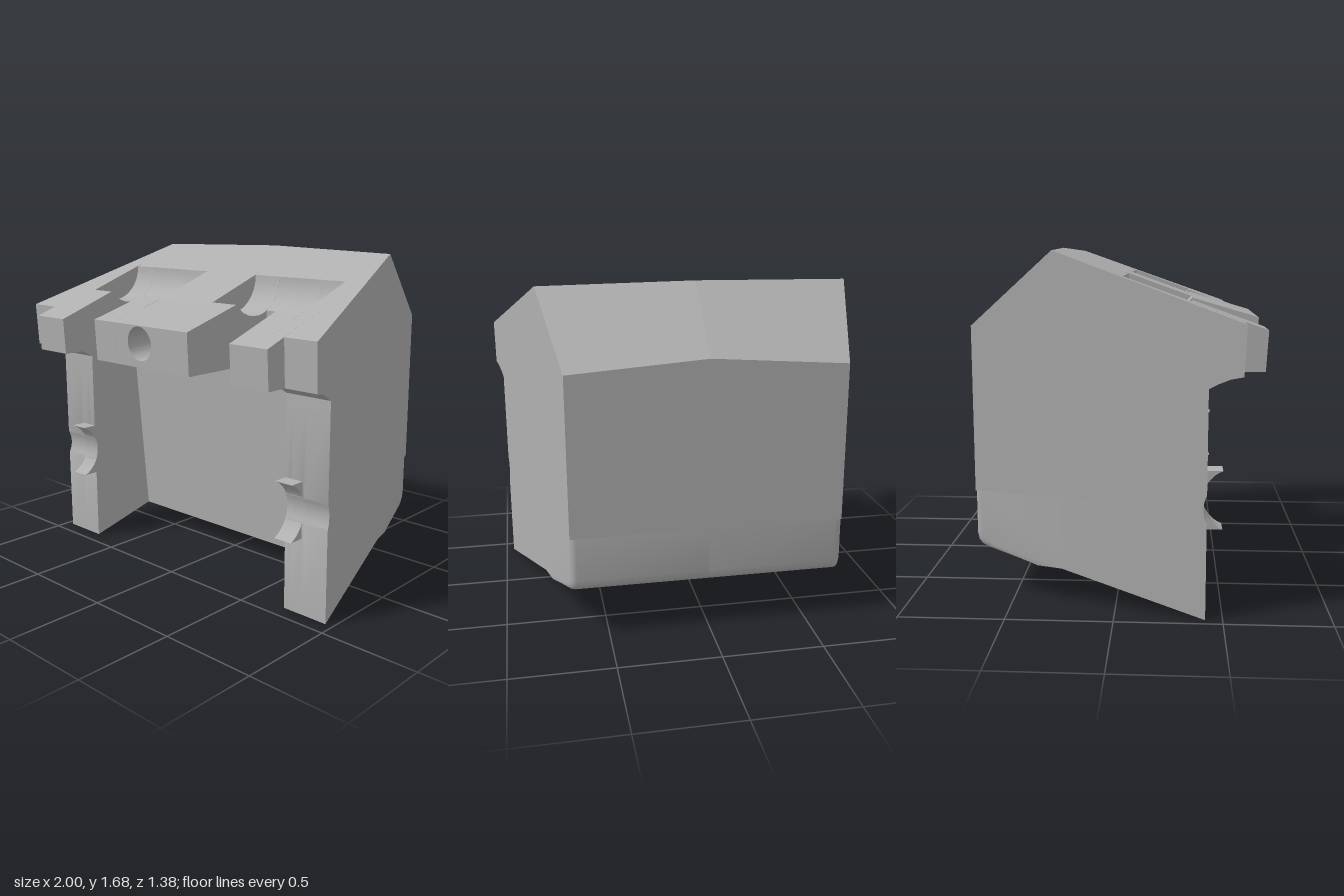
import * as THREE from 'three';
import { toCreasedNormals } from 'three/addons/utils/BufferGeometryUtils.js';

const grey = new THREE.MeshStandardMaterial({ color: 0xb0b0b0 });
grey.name = 'grey plastic';

// Half width of the tapering plan at depth z, and the sloping top plane
const halfWidth = (z) => 1 - (0.58 - z) * 0.252;
const topY = (z) => 1.565 - 0.36 * z;

// Points [z, y] along a circular arc, angles in degrees
function arc(cz, cy, r, from, to, steps = 12) {
  return Array.from({ length: steps + 1 }, (_, i) => {
    const a = THREE.MathUtils.degToRad(from + ((to - from) * i) / steps);
    return [cz + r * Math.cos(a), cy + r * Math.sin(a)];
  });
}

// Solid through rings of [x, y, z] points ordered from low x to high x
function loft(rings) {
  const flat = rings[0].map((p) => new THREE.Vector2(p[2], p[1]));
  if (THREE.ShapeUtils.isClockWise(flat)) rings = rings.map((r) => [...r].reverse());
  const pos = [];
  const tri = (a, b, c) => pos.push(...a, ...b, ...c);
  for (let k = 0; k < rings.length - 1; k++) {
    const r = rings[k], s = rings[k + 1], n = r.length;
    for (let i = 0; i < n; i++) {
      const j = (i + 1) % n;
      tri(r[i], s[i], s[j]);
      tri(r[i], s[j], r[j]);
    }
  }
  const cap = (ring, flip) => {
    const pts = ring.map((p) => new THREE.Vector2(p[2], p[1]));
    for (const [a, b, c] of THREE.ShapeUtils.triangulateShape(pts, [])) {
      if (flip) tri(ring[a], ring[c], ring[b]);
      else tri(ring[a], ring[b], ring[c]);
    }
  };
  cap(rings[0], false);
  cap(rings[rings.length - 1], true);
  const geo = new THREE.BufferGeometry();
  geo.setAttribute('position', new THREE.Float32BufferAttribute(pos, 3));
  return toCreasedNormals(geo, 0.5);
}

export function createModel() {
  const group = new THREE.Group();
  const add = (geo, name) => {
    const mesh = new THREE.Mesh(geo, grey);
    mesh.name = name;
    group.add(mesh);
  };
  // A part on the left and its mirror image on the right
  const addPair = (rings, name) => {
    add(loft(rings), name + 'Left');
    add(loft([...rings].reverse().map((r) => r.map(([x, y, z]) => [-x, y, z]))), name + 'Right');
  };
  // Side profile carried from x0 to x1 (a number or a rule of z)
  const slab = (name, x0, x1, profile) => {
    const at = (x) => profile.map(([z, y]) => [typeof x === 'number' ? x : x(z), y, z]);
    addPair([at(x0), at(x1)], name);
  };

  // Rear shell with a folded rear slope
  const mid = [[0, 0.52], [0, 1.565], [-0.33, 1.685], [-0.69, 1.37], [-0.69, 0.52]];
  const side = [[0, 0.52], [0, 1.565], [-0.29, 1.67], [-0.69, 1.32], [-0.69, 0.52]];
  addPair([mid.map(([z, y]) => [0, y, z]), side.map(([z, y]) => [halfWidth(z), y, z])], 'rearShell');

  // Rear foot, its bottom and corners rounded; third value = share of the rounding
  const foot = [
    [0, 0.52, 0], [0, 0.105, 0], [-0.26, 0.17, 0], [-0.38, 0.17, 0.1], [-0.63, 0.232, 0.8],
    [-0.665, 0.247, 1], [-0.683, 0.268, 1], [-0.69, 0.3, 1], [-0.69, 0.52, 1],
  ];
  const round = 0.03;
  const footRings = [foot.map(([z, y]) => [0, y, z])];
  for (let i = 0; i <= 5; i++) {
    const a = (i / 5) * Math.PI / 2;
    const inset = round * (1 - Math.cos(a));
    footRings.push(foot.map(([z, y, w]) => {
      const zz = z < -0.6 ? z + inset * w : z;
      const yy = y < 0.31 ? y + inset * w : y;
      return [halfWidth(zz) - round * (1 - Math.sin(a)), yy, zz];
    }));
  }
  addPair(footRings, 'rearFoot');

  // Shared pieces of the front profiles
  const wall = [[0, 0.105], [0.02, 0.1], [0.108, 1.13]];
  const back = [0, topY(0)];
  const groove = (from = 321) => arc(0.213, 1.553, 0.183, from, 180);
  const tongueTop = [[0.68, 1.13], [0.69, 1.34]];
  const prongTop = [[0.68, 1.13], [0.69, 1.317]];
  const leg = [[0, 0.105], [0.42, 0], ...arc(0.556, 0.525, 0.151, 205.8, 154.2, 8),
    [0.42, 1.07], [0.46, 1.093], [0.51, 1.116], [0.57, 1.13]];

  // Centre wall, tongue, notches, prongs and legs, from the middle outwards
  slab('centreWall', 0, 0.175, [...wall, [0.4, 1.13], [0.4, 1.424], [0.355, 1.437], back]);
  slab('tongueSide', 0.175, 0.335, [...wall, ...tongueTop, ...groove(), back]);
  slab('notchWall', 0.335, 0.6, [[0, 0.105], [0.02, 0.1], ...groove(243), back]);
  slab('prongInner', 0.6, 0.71, [...wall, ...prongTop, ...groove(), back]);
  slab('legInner', 0.71, 0.745, [...leg, ...prongTop, ...groove(), back]);
  slab('legMiddle', 0.745, 0.82, [...leg, ...prongTop, back]);
  slab('legOuter', 0.82, halfWidth, [...leg, [0.58, topY(0.58)], back]);

  // Curved clips on the legs
  slab('clipTop', 0.71, 0.81, [[0.419, 0.665], ...arc(0.556, 0.525, 0.151, 112, 154.2, 8)]);
  slab('clipBottom', 0.71, 0.81, [[0.419, 0.385], ...arc(0.556, 0.525, 0.151, 248, 205.8, 8)]);

  // Tongue nose with a blind round hole
  const shape = new THREE.Shape();
  shape.moveTo(-0.175, 1.13).lineTo(0.175, 1.13).lineTo(0.175, 1.34).lineTo(-0.175, 1.34);
  const hole = new THREE.Path();
  hole.absarc(0, 1.25, 0.085, 0, Math.PI * 2, true);
  shape.holes.push(hole);
  const nose = new THREE.ExtrudeGeometry(shape, { depth: 0.29, bevelEnabled: false, curveSegments: 32 });
  const p = nose.attributes.position;
  for (let i = 0; i < p.count; i++) {
    const y = p.getY(i), front = p.getZ(i) > 0.1;
    if (front) p.setZ(i, 0.69 + (y - 1.34) * 0.05);
    else {
      p.setZ(i, 0.4);
      if (y > 1.339) p.setY(i, 1.424);
      else if (y > 1.131) p.setY(i, y + 0.018);
    }
  }
  add(toCreasedNormals(nose, 0.5), 'tongueNose');

  return group;
}
